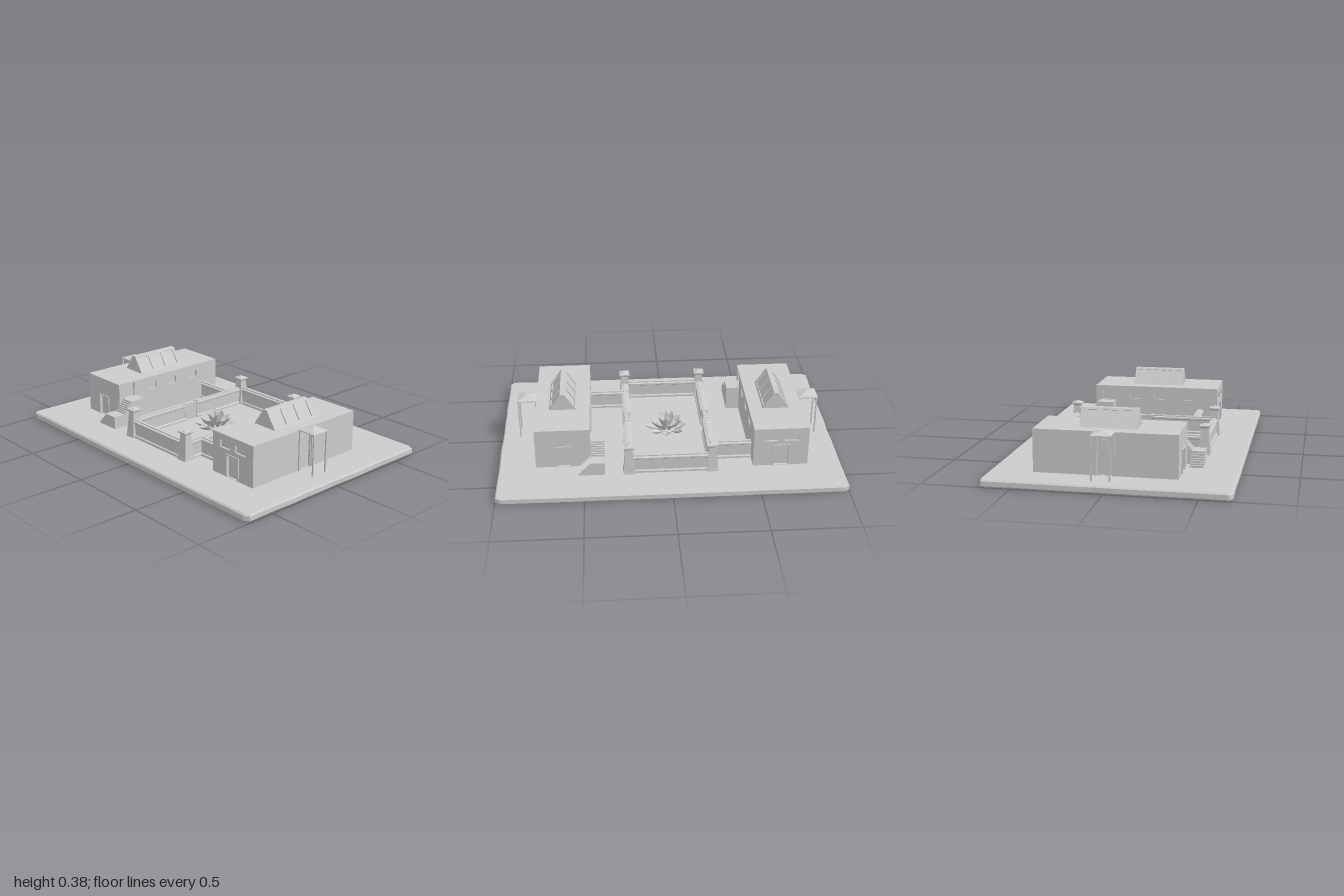
import * as THREE from 'three';

const MAT = new THREE.MeshStandardMaterial({ color: 0xcccccc, flatShading: true, side: THREE.DoubleSide });
const G = 0.042; // ground level

function add(parent, name, geo, x = 0, y = 0, z = 0) {
  const m = new THREE.Mesh(geo, MAT);
  m.name = name;
  m.position.set(x, y, z);
  parent.add(m);
  return m;
}
// box given by its limits
function block(parent, name, x0, x1, y0, y1, z0, z1) {
  return add(parent, name, new THREE.BoxGeometry(x1 - x0, y1 - y0, z1 - z0),
    (x0 + x1) / 2, (y0 + y1) / 2, (z0 + z1) / 2);
}
function rectPoints(x0, x1, y0, y1) {
  return [[x0, y0], [x1, y0], [x1, y1], [x0, y1]].map(p => new THREE.Vector2(...p));
}
// upright panel with holes [x, y, w, h] (x = centre, y = bottom), outer face at z = 0
function panel(w, h, t, holes) {
  const s = new THREE.Shape(rectPoints(-w / 2, w / 2, 0, h));
  for (const [x, y, hw, hh] of holes) s.holes.push(new THREE.Path(rectPoints(x - hw / 2, x + hw / 2, y, y + hh)));
  return new THREE.ExtrudeGeometry(s, { depth: t, bevelEnabled: false }).translate(0, 0, -t);
}
function extrudeProfile(points, length) {
  const s = new THREE.Shape(points.map(p => new THREE.Vector2(...p)));
  return new THREE.ExtrudeGeometry(s, { depth: length, bevelEnabled: false }).translate(0, 0, -length / 2);
}

// slab with slightly broken edges
function makeBase(root) {
  let seed = 7;
  const rnd = () => (seed = (seed * 16807) % 2147483647) / 2147483647;
  const pts = [];
  const X = 0.992, Z = 0.67, n = 14, corners = [[-X, -Z], [X, -Z], [X, Z], [-X, Z]];
  for (let c = 0; c < 4; c++) {
    const [ax, az] = corners[c], [bx, bz] = corners[(c + 1) % 4];
    for (let i = 0; i < n; i++) {
      const t = (i + 0.15) / (n - 0.7), k = 1 - rnd() * 0.005;
      pts.push(new THREE.Vector2((ax + (bx - ax) * t) * k, (az + (bz - az) * t) * k));
    }
  }
  const geo = new THREE.ExtrudeGeometry(new THREE.Shape(pts),
    { depth: G - 0.016, bevelThickness: 0.008, bevelSize: 0.008, bevelSegments: 1 });
  geo.rotateX(-Math.PI / 2);
  add(root, 'groundSlab', geo, 0, 0.008, 0);
}

// glazed roof ridge with three panes on each slope
function makeSkylight(parent, y) {
  const sky = new THREE.Group();
  sky.name = 'skylight';
  sky.position.y = y;
  parent.add(sky);
  const W = 0.08, T = 0.013, H = 0.1, L = 0.32, slope = Math.hypot(W - T, H);
  const prism = d => [[-W + d, 0], [W - d, 0], [T, H - d], [-T, H - d]];
  add(sky, 'skylightGlass', extrudeProfile(prism(0.01), L - 0.012));
  for (const s of [-1, 1]) {
    add(sky, 'skylightEnd', extrudeProfile(prism(0.001), 0.006), 0, 0, s * (L / 2 - 0.003));
    const side = new THREE.Group();
    side.rotation.y = s * Math.PI / 2;
    sky.add(side);
    const holes = [-1, 0, 1].map(i => [i * 0.101, 0.013, 0.082, slope - 0.026]);
    add(side, 'skylightFrame', panel(L, slope, 0.009, holes), 0, 0, W).rotation.x = -Math.atan2(W - T, H);
  }
  block(sky, 'skylightRidge', -T, T, H - 0.01, H, -L / 2, L / 2);
}

function makeBuilding(parent) {
  const b = new THREE.Group();
  b.name = 'building';
  b.position.set(-0.64, G, -0.03);
  parent.add(b);
  const W = 0.32, L = 0.8, H = 0.243, t = 0.02;
  const door = [0, 0.002, 0.084, 0.127];
  const win = (x, w = 0.082) => [x, 0.162, w, 0.042];
  const walls = [
    ['frontWall', W, L / 2, 0, [door]],
    ['rearWall', W, L / 2, Math.PI, [door, win(-0.06), win(0.06)]],
    ['courtWall', L - 2 * t, W / 2, Math.PI / 2, [[-0.32, 0.15, 0.075, 0.085], win(-0.14, 0.07), win(0.02, 0.07), win(0.195, 0.07)]],
    ['entranceWall', L - 2 * t, W / 2, -Math.PI / 2, [[0, 0.002, 0.08, 0.218]]],
  ];
  for (const [name, w, dist, rot, holes] of walls) {
    const side = new THREE.Group();
    side.name = name;
    side.rotation.y = rot;
    b.add(side);
    add(side, name + 'Panel', panel(w, H, t, holes), 0, 0, dist);
    for (const [x, y, hw, hh] of holes) {
      block(side, 'recessedInfill', x - hw / 2, x + hw / 2, y, y + hh, dist - 0.018, dist - 0.012);
      // raised surround on the end doors
      if (y < 0.01 && w === W) {
        for (const s of [-1, 1]) block(side, 'doorJamb', x + s * (hw / 2 + 0.004) - 0.004, x + s * (hw / 2 + 0.004) + 0.004, 0, hh + 0.002, dist, dist + 0.006);
        block(side, 'doorLintel', x - hw / 2 - 0.008, x + hw / 2 + 0.008, hh + 0.002, hh + 0.01, dist, dist + 0.006);
      }
    }
  }
  // small light and handle strip in the entrance door
  const e = -W / 2 + 0.006;
  block(b, 'entranceDoorPanel', e, e + 0.006, 0.15, 0.2, -0.032, 0.012);
  block(b, 'roof', -W / 2 + t, W / 2 - t, H - 0.02, H, -L / 2 + t, L / 2 - t);
  makeSkylight(b, H);

  // porch canopy on slender posts
  const c = new THREE.Group();
  c.name = 'canopy';
  c.position.set(-W / 2 - 0.056, 0, 0);
  b.add(c);
  block(c, 'canopyEave', -0.057, 0.056, 0.242, 0.247, -0.057, 0.057);
  add(c, 'canopyRoof', new THREE.ConeGeometry(0.057 * Math.SQRT2, 0.022, 4).rotateY(Math.PI / 4), 0, 0.258, 0);
  for (const x of [-0.052, 0.052]) for (const z of [-0.05, 0.05])
    block(c, 'canopyPost', x - 0.004, x + 0.004, 0, 0.243, z - 0.004, z + 0.004);
}

// L-shaped stair up to the side door
function makeStairs(parent) {
  const st = new THREE.Group();
  st.name = 'stairs';
  parent.add(st);
  const n = 7, mid = 0.12, top = 0.19;
  block(st, 'landing', -0.48, -0.4, G, mid, 0.395, 0.47);
  block(st, 'platform', -0.48, -0.4, G, top, 0.24, 0.335);
  for (let i = 0; i < n; i++) {
    const a = i / n, h = (i + 1) / n;
    block(st, 'lowerStep', -0.555 + 0.075 * a, -0.555 + 0.075 * h, G, G + (mid - G) * h, 0.395, 0.47);
    block(st, 'upperStep', -0.48, -0.4, G, mid + (top - mid) * h, 0.395 - 0.06 * h, 0.395 - 0.06 * a);
  }
}

// wall with plinth and stepped coping, running from a to b in plan
function makeWall(parent, ax, az, bx, bz) {
  const half = [[0.024, 0], [0.024, 0.012], [0.016, 0.018], [0.016, 0.085], [0.022, 0.09], [0.022, 0.1], [0.009, 0.103], [0.009, 0.109]];
  const pts = [...half, ...half.map(([x, y]) => [-x, y]).reverse()];
  const m = add(parent, 'courtyardWall', extrudeProfile(pts, Math.hypot(bx - ax, bz - az)), (ax + bx) / 2, G, (az + bz) / 2);
  m.rotation.y = Math.atan2(bx - ax, bz - az);
}

// tapered square corner pillar
function makePillar(parent, x, z) {
  const p = new THREE.Group();
  p.name = 'cornerPillar';
  p.position.set(x, G, z);
  parent.add(p);
  const tier = (r0, r1, y0, y1) => add(p, 'pillarTier',
    new THREE.CylinderGeometry(r1 * Math.SQRT2, r0 * Math.SQRT2, y1 - y0, 4).rotateY(Math.PI / 4), 0, (y0 + y1) / 2, 0);
  tier(0.036, 0.034, 0, 0.015);
  tier(0.033, 0.021, 0.015, 0.155);
  tier(0.021, 0.031, 0.155, 0.164);
  tier(0.031, 0.031, 0.164, 0.172);
  tier(0.022, 0.004, 0.172, 0.182);
}

// folded kite petal pointing along +z
function petalGeometry(r0, r1, y0, y1, w) {
  const rm = r0 + (r1 - r0) * 0.55, ym = y0 + (y1 - y0) * 0.6;
  const v = [0, y0, r0, w, ym + 0.012, rm, 0, y1, r1, -w, ym + 0.012, rm, 0, ym - 0.015, rm];
  const g = new THREE.BufferGeometry();
  g.setAttribute('position', new THREE.Float32BufferAttribute(v, 3));
  g.setIndex([0, 1, 4, 1, 2, 4, 2, 3, 4, 3, 0, 4]);
  const out = g.toNonIndexed();
  out.computeVertexNormals();
  return out;
}
function makeFlower(root) {
  const f = new THREE.Group();
  f.name = 'flowerSculpture';
  f.position.y = G;
  root.add(f);
  const rings = [[8, 0.03, 0.133, 0.004, 0.04, 0.032, 0], [8, 0.025, 0.1, 0.01, 0.085, 0.028, 0.5], [6, 0.012, 0.055, 0.015, 0.11, 0.022, 0]];
  for (const [n, r0, r1, y0, y1, w, off] of rings)
    for (let i = 0; i < n; i++)
      add(f, 'petal', petalGeometry(r0, r1, y0, y1, w)).rotation.y = (i + off) / n * Math.PI * 2;
  add(f, 'flowerBed', new THREE.CylinderGeometry(0.035, 0.06, 0.03, 8), 0, 0.015, 0);
  add(f, 'flowerHeart', new THREE.ConeGeometry(0.016, 0.12, 5), 0, 0.085, 0);
}

export function createModel() {
  const root = new THREE.Group();
  root.name = 'courtyardCompound';
  makeBase(root);

  // two identical wings, the second turned half round
  for (const turned of [false, true]) {
    const wing = new THREE.Group();
    wing.name = turned ? 'leftWing' : 'rightWing';
    if (turned) {
      wing.rotation.y = Math.PI;
      wing.position.x = -0.02;
    }
    root.add(wing);
    makeBuilding(wing);
    makeStairs(wing);
    makeWall(wing, -0.48, -0.32, -0.245, -0.32);
  }

  // enclosed court
  const court = new THREE.Group();
  court.name = 'courtyard';
  root.add(court);
  const X = 0.24, Z = 0.44;
  for (const s of [-1, 1]) {
    makeWall(court, -X, s * Z, X, s * Z);
    for (const t of [-1, 1]) {
      makePillar(court, s * X, t * Z);
      makeWall(court, s * X, t * 0.045, s * X, t * Z);
      block(court, 'gatePost', s * X - 0.018, s * X + 0.018, G, 0.152, t * 0.045 - 0.006, t * 0.045 + 0.006);
    }
    block(court, 'gate', s * X - 0.012, s * X + 0.012, G, 0.148, -0.04, 0.04);
  }
  makeFlower(root);
  return root;
}
